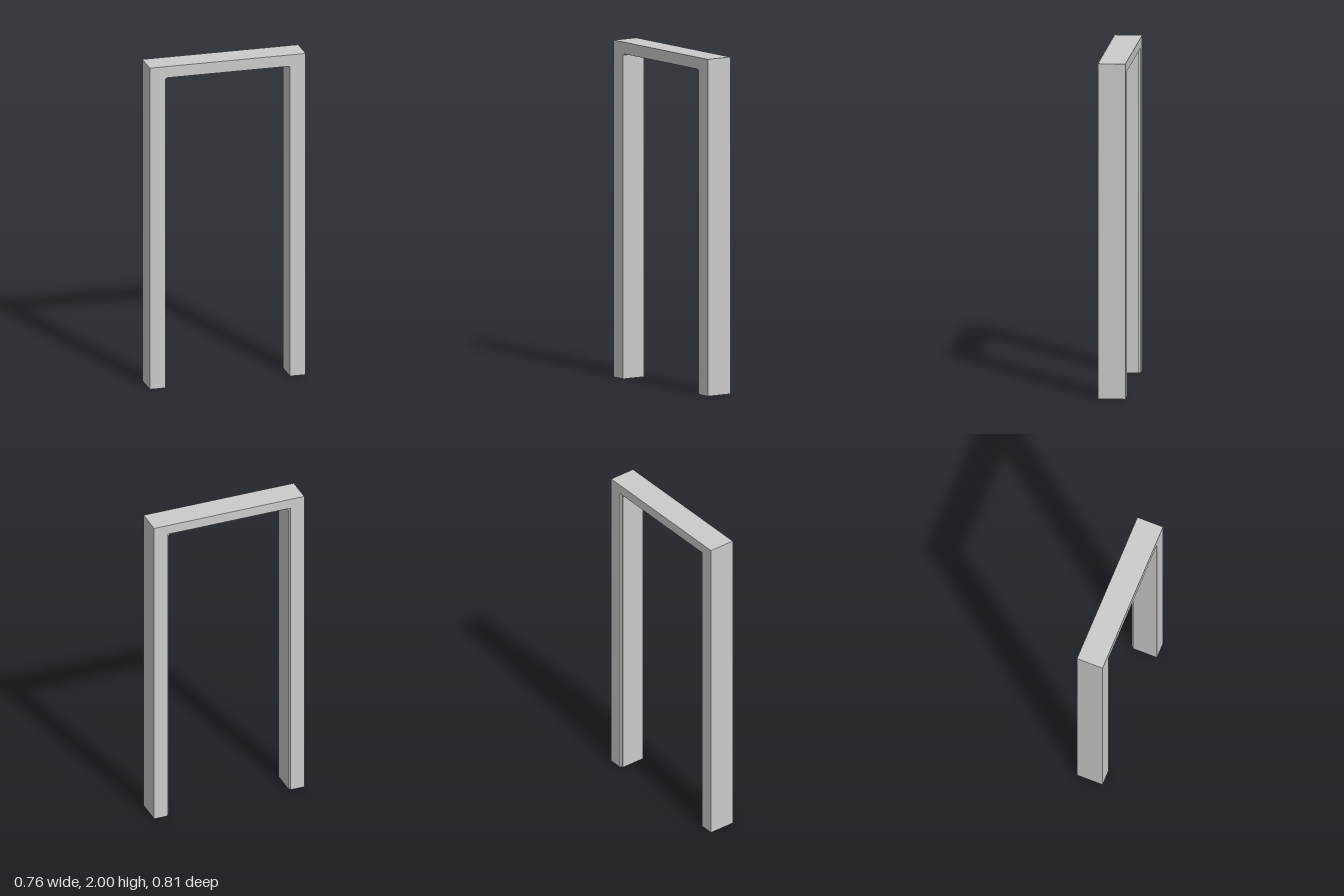
import * as THREE from 'three';

const HALF = 0.476, HEIGHT = 2, DEPTH = 0.162, REBATE = 0.012;

// U-shaped frame outline, standing on the ground, with an optional corner cut
function frameLayer(name, post, head, cut, z, depth, material) {
  const inner = HALF - post, top = HEIGHT - head;
  const opening = cut > 0
    ? [[inner, top - cut], [inner - cut, top], [cut - inner, top], [-inner, top - cut]]
    : [[inner, top], [-inner, top]];
  const outline = [
    [-HALF, 0], [-inner, 0], ...opening.reverse(), [inner, 0],
    [HALF, 0], [HALF, HEIGHT], [-HALF, HEIGHT],
  ];
  const shape = new THREE.Shape(outline.map(([x, y]) => new THREE.Vector2(x, y)));
  const geometry = new THREE.ExtrudeGeometry(shape, { depth, bevelEnabled: false });
  const mesh = new THREE.Mesh(geometry, material);
  mesh.name = name;
  mesh.position.z = z;
  return mesh;
}

export function createModel() {
  const model = new THREE.Group();
  model.name = 'doorFrame';
  const material = new THREE.MeshStandardMaterial({ color: 0xcccccc, flatShading: true });

  const frame = new THREE.Group();
  frame.name = 'frame';
  // Main frame, with a shallow rebate around the opening at the back
  frame.add(frameLayer('jambsAndHead', 0.096, 0.07, 0.008, REBATE - DEPTH / 2, DEPTH - REBATE, material));
  frame.add(frameLayer('backRebate', 0.086, 0.06, 0, -DEPTH / 2, REBATE, material));

  // The doorway stands diagonally
  frame.rotation.y = 0.834;
  model.add(frame);
  return model;
}
